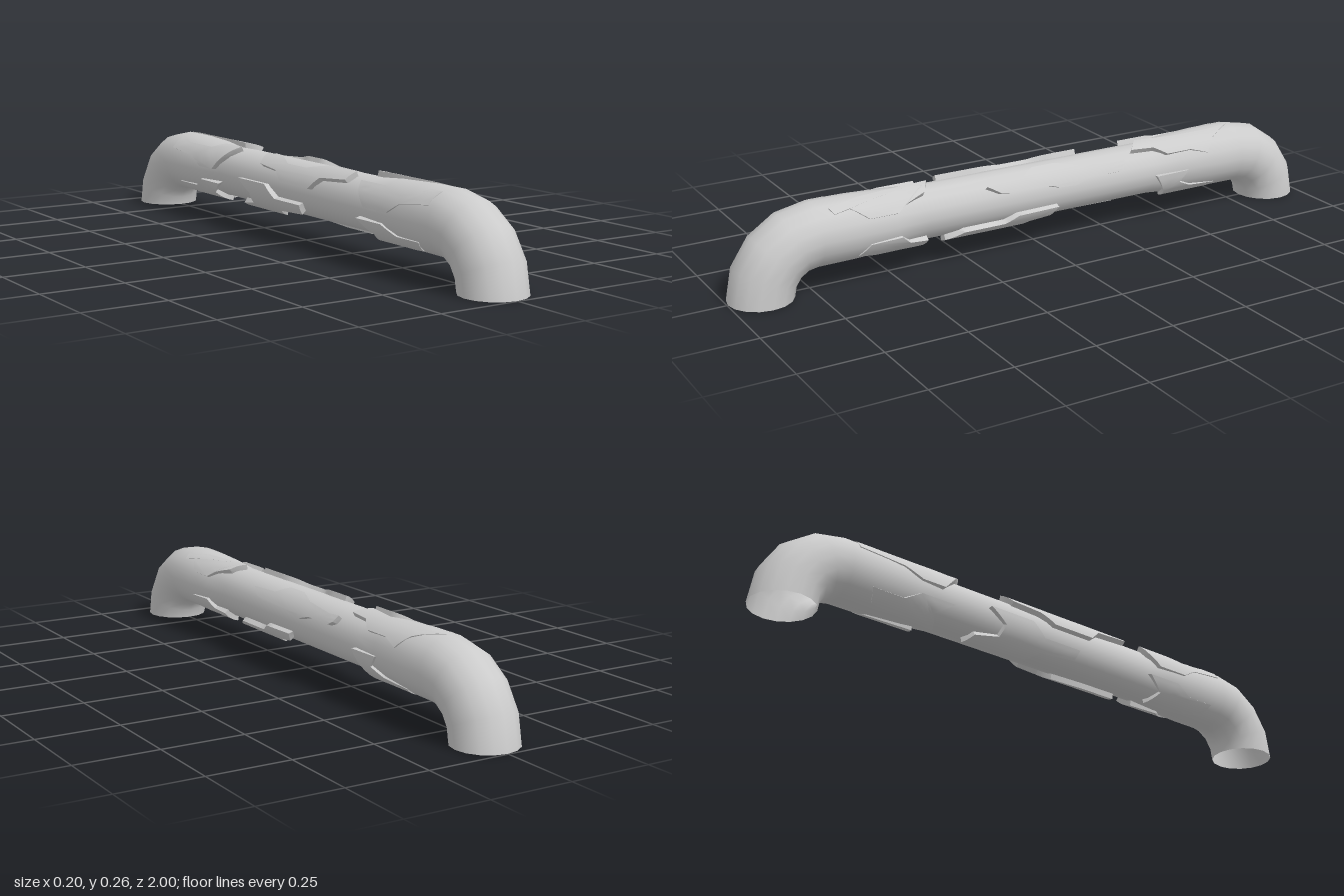
import * as THREE from 'three';
import { toCreasedNormals } from 'three/addons/utils/BufferGeometryUtils.js';

const SIDES = 16, BAR_Y = 0.165, BEND_Z = 0.735;
const R_END = 0.0975, R_MID = 0.082, R_IN = 0.072;
const material = new THREE.MeshStandardMaterial({ color: 0xcccccc, side: THREE.DoubleSide });

// Bent grip: rings lofted along a foot, bar, foot path, thinner in the middle
function gripGeometry() {
  const rings = [];
  const bend = (cz, from) => {
    for (let i = 0; i <= 4; i++) {
      const a = (from + i * 22.5) * Math.PI / 180;
      rings.push({ z: cz + BAR_Y * Math.cos(a), y: BAR_Y * Math.sin(a), a, r: R_END });
    }
  };
  bend(BEND_Z, 0);
  for (const [z, r] of [[0.62, 0.0965], [0.5, 0.091], [0.4, R_MID], [0, R_MID], [-0.4, R_MID], [-0.5, 0.091], [-0.62, 0.0965]])
    rings.push({ z, y: BAR_Y, a: Math.PI / 2, r });
  bend(-BEND_Z, 90);

  const pos = [], index = [];
  rings.forEach(({ z, y, a, r }, i) => {
    for (let j = 0; j < SIDES; j++) {
      const p = j / SIDES * Math.PI * 2, n = r * Math.sin(p);
      pos.push(r * Math.cos(p), y + n * Math.sin(a), z + n * Math.cos(a));
      if (i === rings.length - 1) continue;
      const k = (j + 1) % SIDES, A = i * SIDES + j, B = i * SIDES + k;
      index.push(A, A + SIDES, B, B, A + SIDES, B + SIDES);
    }
  });
  const g = new THREE.BufferGeometry();
  g.setAttribute('position', new THREE.Float32BufferAttribute(pos, 3));
  g.setIndex(index);
  g.computeVertexNormals();
  return g;
}

// Split every triangle into four
function subdivide(p) {
  const out = [];
  for (let i = 0; i < p.length; i += 9) {
    const [a, b, c] = [0, 3, 6].map(k => new THREE.Vector3(p[i + k], p[i + k + 1], p[i + k + 2]));
    const mid = (u, v) => u.clone().add(v).multiplyScalar(0.5);
    const ab = mid(a, b), bc = mid(b, c), ca = mid(c, a);
    for (const v of [a, ab, ca, ab, b, bc, ca, bc, c, ab, bc, ca]) out.push(v.x, v.y, v.z);
  }
  return out;
}

// Raised plate: outline of [z, degrees around the bar], extruded and wrapped round the bar
function plateGeometry(outline) {
  const shape = new THREE.Shape(outline.map(([z, d]) => new THREE.Vector2(-z, d * Math.PI / 180)));
  const flat = new THREE.ExtrudeGeometry(shape, { depth: R_END + 0.0005 - R_IN, bevelEnabled: false });
  const src = flat.index ? flat.toNonIndexed() : flat;
  const p = subdivide(subdivide(Array.from(src.attributes.position.array)));
  for (let i = 0; i < p.length; i += 3) {
    const z = -p[i], t = p[i + 1], r = R_IN + p[i + 2];
    p[i] = r * Math.cos(t);
    p[i + 1] = BAR_Y + r * Math.sin(t);
    p[i + 2] = z;
  }
  const g = new THREE.BufferGeometry();
  g.setAttribute('position', new THREE.Float32BufferAttribute(p, 3));
  return toCreasedNormals(g, 0.6);
}

// Four jagged plates in each of three bands
const plates = {
  middle: {
    UpperLeft: [[0.2, 42], [0.08, 45], [0.03, 65], [-0.05, 65], [-0.12, 50], [-0.24, 42], [-0.29, 44],
      [-0.28, 30], [-0.26, 23], [-0.15, 23], [-0.1, 14], [-0.04, 16], [-0.01, 22], [0.12, 22], [0.16, 26]],
    UpperRight: [[-0.17, 110], [-0.08, 110], [-0.01, 128], [0.09, 128], [0.18, 110], [0.32, 110],
      [0.31, 135], [0.19, 142], [0.15, 166], [0, 166], [-0.05, 146], [-0.15, 140]],
    LowerLeft: [[0.33, -62], [0.28, -40], [0.14, -40], [0.1, -24], [-0.04, -22],
      [-0.02, -42], [0.05, -50], [0.08, -74], [0.2, -80], [0.33, -80]],
    LowerRight: [[-0.25, 176], [-0.09, 176], [-0.04, 200], [0.1, 200], [0.09, 222],
      [-0.04, 228], [-0.08, 260], [-0.3, 262], [-0.28, 236], [-0.2, 225], [-0.19, 200]],
  },
  front: {
    UpperLeft: [[0.37, 86], [0.5, 80], [0.6, 75], [0.7, 60], [0.69, 46], [0.64, 52],
      [0.59, 27], [0.5, 27], [0.46, 42], [0.4, 56]],
    UpperRight: [[0.38, 128], [0.5, 128], [0.57, 142], [0.65, 132], [0.68, 114], [0.73, 114],
      [0.72, 146], [0.6, 156], [0.55, 174], [0.44, 174], [0.4, 150]],
    LowerLeft: [[0.62, -44], [0.59, -20], [0.49, -18], [0.46, -36], [0.4, -40],
      [0.41, -78], [0.52, -82], [0.56, -62]],
    LowerRight: [[0.4, 196], [0.52, 196], [0.58, 214], [0.68, 214], [0.66, 242],
      [0.56, 256], [0.43, 258], [0.46, 224]],
  },
  back: {
    UpperLeft: [[-0.73, 86], [-0.65, 78], [-0.5, 78], [-0.37, 88], [-0.33, 60], [-0.41, 56],
      [-0.45, 38], [-0.54, 38], [-0.6, 26], [-0.64, 54]],
    UpperRight: [[-0.33, 110], [-0.43, 110], [-0.48, 128], [-0.63, 128], [-0.7, 112],
      [-0.71, 148], [-0.56, 156], [-0.5, 172], [-0.42, 172], [-0.37, 140]],
    LowerLeft: [[-0.4, -1], [-0.52, 0], [-0.49, -22], [-0.54, -38], [-0.64, -44],
      [-0.62, -78], [-0.46, -82], [-0.44, -40]],
    LowerRight: [[-0.38, 198], [-0.5, 198], [-0.55, 216], [-0.66, 216], [-0.64, 244],
      [-0.54, 258], [-0.41, 258], [-0.44, 224]],
  },
};

export function createModel() {
  const model = new THREE.Group();
  model.name = 'handle';
  const grip = new THREE.Mesh(gripGeometry(), material);
  grip.name = 'grip';
  model.add(grip);
  for (const [band, set] of Object.entries(plates)) {
    const group = new THREE.Group();
    group.name = band + 'Plates';
    for (const [side, outline] of Object.entries(set)) {
      const plate = new THREE.Mesh(plateGeometry(outline), material);
      plate.name = band + side + 'Plate';
      group.add(plate);
    }
    model.add(group);
  }
  return model;
}
